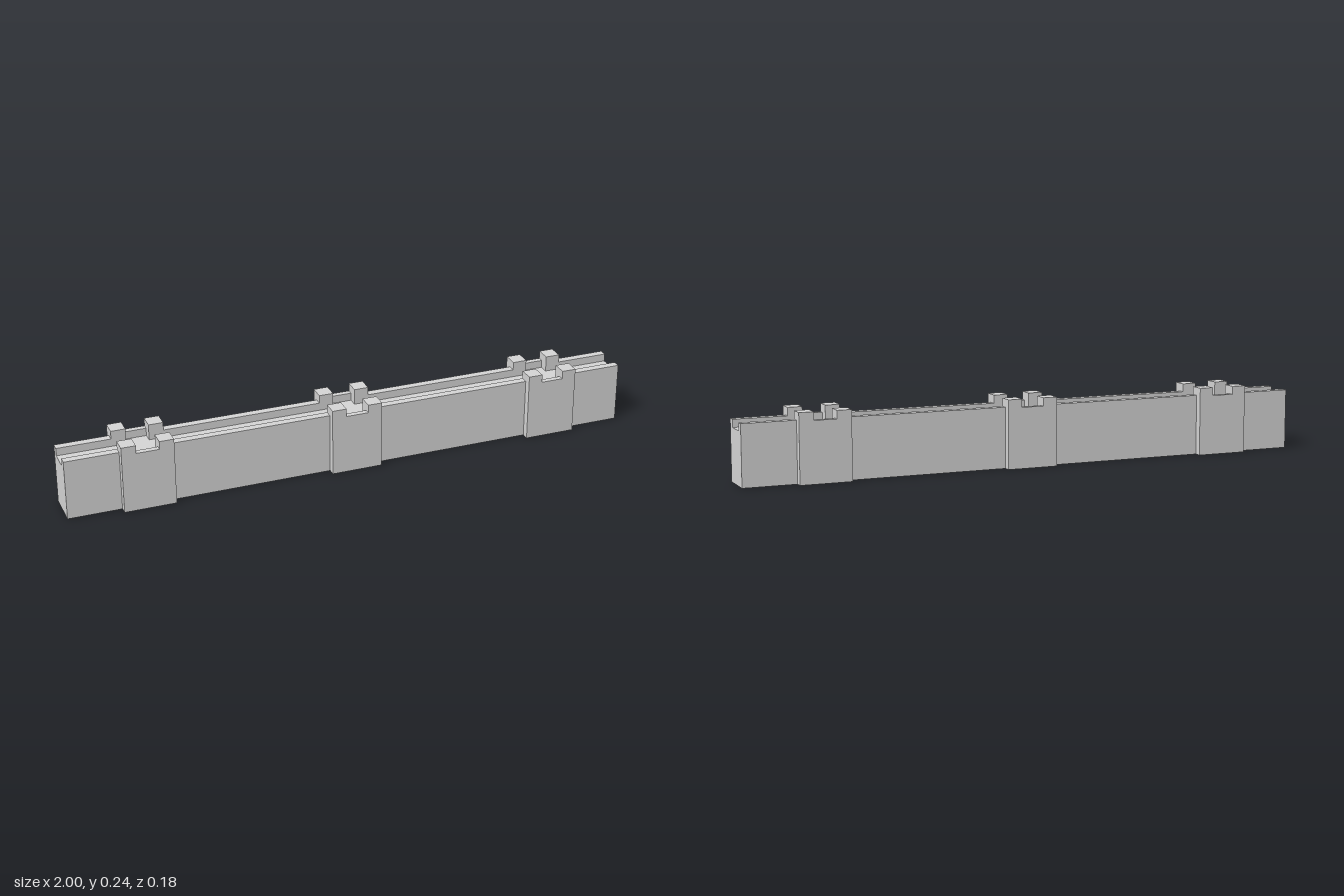
import * as THREE from 'three';

const FLOOR = 0.182, RIM = 0.209, TOP = 0.237;      // heights
const WALL = 0.064, TOWER = 0.09, INNER = 0.037;    // half depths
const CRENEL = 0.07;                                // inner face of the thin crenel parapet
const HALF = 0.089, MERLON = 0.05;                  // tower half width, merlon width
const centres = [-0.727, 0, 0.727];

export function createModel() {
  const model = new THREE.Group();
  model.name = 'fortressWall';
  const stone = new THREE.MeshStandardMaterial({ color: 0xd5d5d5 });
  stone.name = 'light grey stone';

  // box given by its limits, standing on the walkway floor
  function block(name, x0, x1, z0, z1, top, side) {
    const h = top - FLOOR;
    const mesh = new THREE.Mesh(new THREE.BoxGeometry(x1 - x0, h, z1 - z0), stone);
    mesh.position.set((x0 + x1) / 2, FLOOR + h / 2, side * (z0 + z1) / 2);
    mesh.name = name;
    model.add(mesh);
  }

  // solid body: plan outline with a projecting tower at each centre
  const edge = [[-1, WALL]];
  for (const c of centres) {
    edge.push([c - HALF, WALL], [c - HALF, TOWER], [c + HALF, TOWER], [c + HALF, WALL]);
  }
  edge.push([1, WALL]);
  const outline = [...edge.map(([x, z]) => [x, -z]), ...edge.slice().reverse()];
  const plan = new THREE.Shape(outline.map(([x, z]) => new THREE.Vector2(x, z)));
  const bodyGeometry = new THREE.ExtrudeGeometry(plan, { depth: FLOOR, bevelEnabled: false });
  bodyGeometry.rotateX(-Math.PI / 2);
  const body = new THREE.Mesh(bodyGeometry, stone);
  body.name = 'wallBody';
  model.add(body);

  for (const side of [-1, 1]) {
    // low parapets between the towers
    const stops = [-1, ...centres.flatMap((c) => [c - HALF, c + HALF]), 1];
    for (let i = 0; i < stops.length; i += 2) {
      block('wallParapet', stops[i], stops[i + 1], INNER, WALL, RIM, side);
    }
    // two merlons with a thin parapet between them on each tower
    for (const c of centres) {
      block('merlon', c - HALF, c - HALF + MERLON, INNER, TOWER, TOP, side);
      block('merlon', c + HALF - MERLON, c + HALF, INNER, TOWER, TOP, side);
      block('crenelParapet', c - HALF + MERLON, c + HALF - MERLON, CRENEL, TOWER, RIM, side);
    }
  }
  return model;
}
